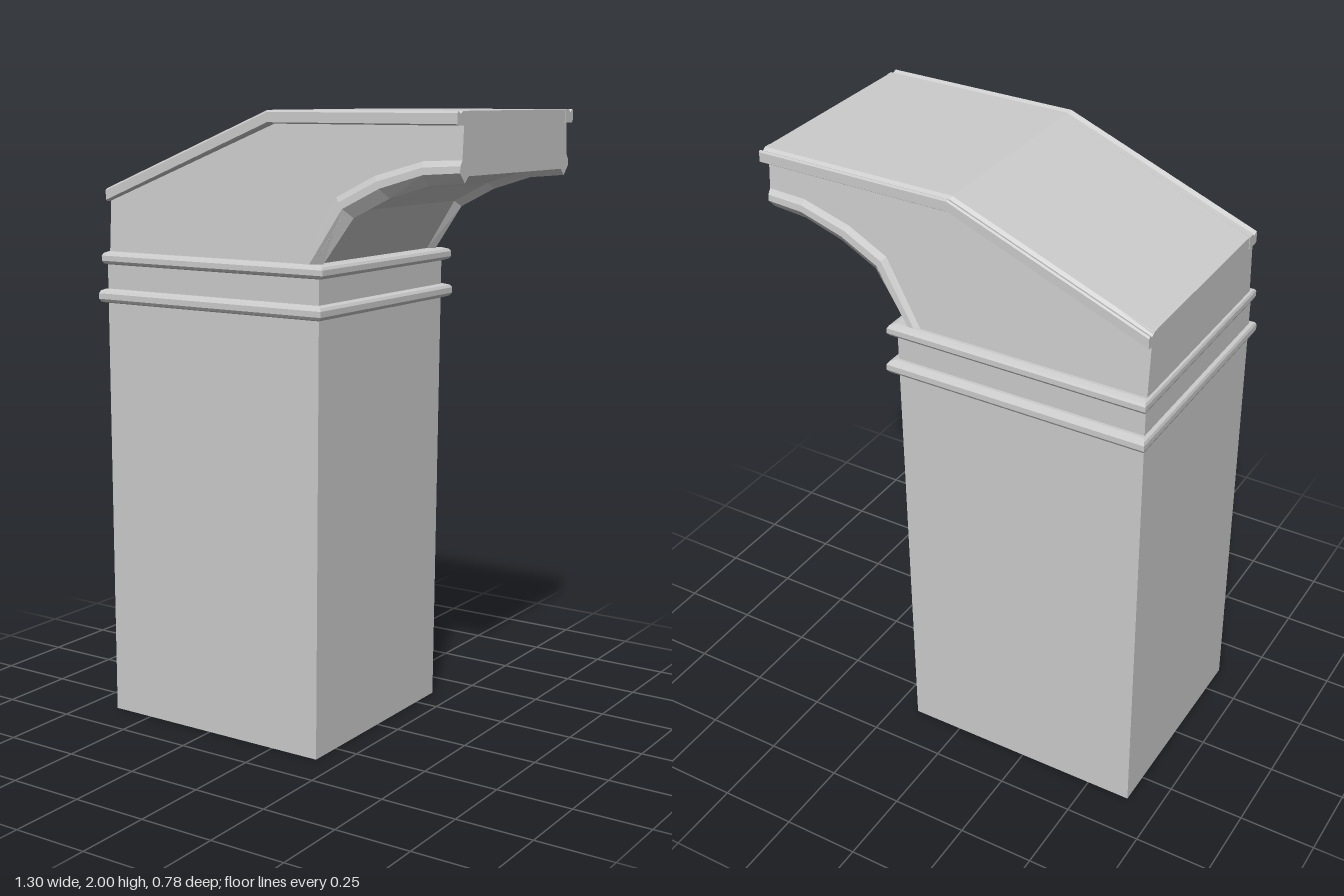
import * as THREE from 'three';

const material = new THREE.MeshStandardMaterial({ color: 0xcccccc, flatShading: true });

// Closed, flat-shaded solid through equal-length rings of [x, y, z]; ends are fanned from corner 0
function loft(rings) {
  const tris = [];
  const n = rings[0].length;
  for (let i = 0; i + 1 < rings.length; i++) {
    for (let j = 0; j < n; j++) {
      const k = (j + 1) % n;
      const a = rings[i][j], b = rings[i][k], c = rings[i + 1][k], d = rings[i + 1][j];
      tris.push([a, b, c], [a, c, d]);
    }
  }
  const first = rings[0], last = rings[rings.length - 1];
  for (let j = 1; j + 1 < n; j++) {
    tris.push([first[0], first[j + 1], first[j]], [last[0], last[j], last[j + 1]]);
  }
  // Turn the faces outward if the enclosed volume is negative
  const o = new THREE.Vector3(...first[0]);
  const rel = (p) => new THREE.Vector3(...p).sub(o);
  const volume = tris.reduce((s, [a, b, c]) => s + rel(a).dot(rel(b).cross(rel(c))), 0);
  if (volume < 0) tris.forEach((t) => t.reverse());
  const geometry = new THREE.BufferGeometry();
  geometry.setAttribute('position', new THREE.Float32BufferAttribute(tris.flat(2), 3));
  geometry.computeVertexNormals();
  return geometry;
}

// Horizontal rectangle used for the shaft and its mouldings
const rect = (x0, x1, z, y) => [[x0, y, z], [x1, y, z], [x1, y, -z], [x0, y, -z]];

// Half width of the head, narrowing slightly upward
const halfWidth = (y) => 0.35 - (y - 1.55) * 0.07;

export function createModel() {
  const model = new THREE.Group();
  const add = (name, geometry) => {
    const mesh = new THREE.Mesh(geometry, material);
    mesh.name = name;
    model.add(mesh);
  };

  // Slightly leaning square shaft
  add('shaft', loft([rect(-0.645, 0.17, 0.36, 0), rect(-0.637, 0.185, 0.36, 1.54)]));

  // Rounded bands around the top of the shaft
  const band = (y0, y1, x0, x1, z) => {
    const h = y1 - y0;
    const steps = [[0, 0.02], [0.1, 0.006], [0.3, 0], [0.7, 0], [0.9, 0.006], [1, 0.02]];
    return loft(steps.map(([t, inset]) =>
      rect(x0 + inset * 0.6, x1 - inset, z - inset, y0 + h * t)));
  };
  add('lowerMoulding', band(1.385, 1.43, -0.652, 0.21, 0.39));
  add('upperMoulding', band(1.508, 1.55, -0.645, 0.21, 0.38));

  // Outer and inner edge of the arch trim, from shaft to tip
  const outer = [[0.11, 1.55], [0.23, 1.75], [0.36, 1.815], [0.52, 1.86], [0.645, 1.865]];
  const inner = [[0.18, 1.55], [0.28, 1.69], [0.4, 1.75], [0.53, 1.79], [0.645, 1.8]];
  const across = (i, t) => [0, 1].map((k) => outer[i][k] + (inner[i][k] - outer[i][k]) * t);

  // Bracket head with sloping top and arched underside
  const soffit = outer.map((_, i) => across(i, 0.7));
  const outline = [[-0.635, 1.53], [0.15, 1.53], ...soffit, [0.645, 2], [0, 2], [-0.635, 1.75]];
  const shape = new THREE.Shape(outline.map(([x, y]) => new THREE.Vector2(x, y)));
  const head = new THREE.ExtrudeGeometry(shape, { depth: 2, bevelEnabled: false });
  head.translate(0, 0, -1);
  const p = head.attributes.position;
  for (let i = 0; i < p.count; i++) p.setZ(i, p.getZ(i) * halfWidth(p.getY(i)));
  head.computeVertexNormals();
  add('head', head);

  // Trims on both sides: a bead along the arch and a grooved rim along the top
  const beadSection = [[0.7, -0.04], [1, -0.02], [0.55, 0.01], [0.25, 0.01], [0, 0]];
  const rimSection = [[0.343, -0.008], [0.358, 0], [0.362, -0.006], [0.362, -0.036],
    [0.356, -0.04], [0.31, -0.04], [0.31, 0], [0.332, 0]];
  const rimPath = [[-0.637, 1.75], [0, 2], [0.647, 2]];
  for (const [side, s] of [['front', 1], ['back', -1]]) {
    add(side + 'ArchTrim', loft(outer.map((_, i) => beadSection.map(([t, out]) => {
      const [x, y] = across(i, t);
      return [x, y, s * (halfWidth(y) + out)];
    }))));
    add(side + 'TopRim', loft(rimPath.map(([x, y]) =>
      rimSection.map(([z, dy]) => [x, y + dy, s * z]))));
  }
  return model;
}
